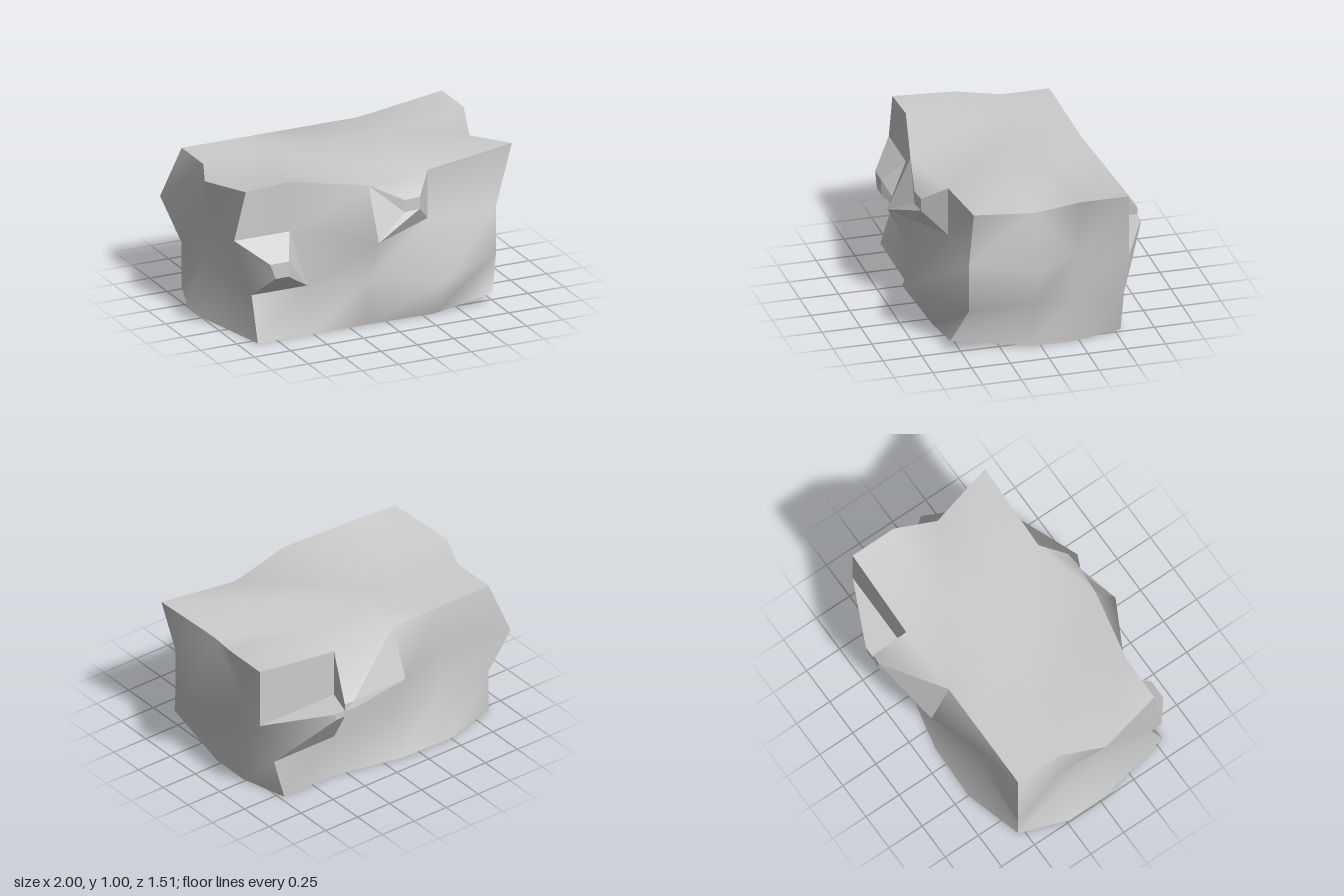
import * as THREE from 'three';
import { mergeVertices } from 'three/addons/utils/BufferGeometryUtils.js';

// Regular lattice of the boulder block
const X = [-0.88, -0.5, -0.13, 0.33, 0.8];
const Y = [0, 0.29, 0.6, 0.92];
const Z = [-0.54, -0.23, 0.04, 0.46];

// Lattice points (column, row, layer) that are pushed in or out
const moved = {
  // front
  '0,0,3': [-0.88, 0, 0.55], '1,0,3': [-0.5, 0, 0.55], '2,0,3': [-0.13, 0, 0.55],
  '3,0,3': [0.33, 0, 0.56], '4,0,3': [0.73, 0.07, 0.56],
  '2,1,3': [-0.13, 0.29, 0.55], '3,1,3': [0.33, 0.29, 0.755],
  '0,2,3': [-1, 0.67, 0.46], '1,2,3': [-0.62, 0.67, 0.46], '2,2,3': [-0.13, 0.6, 0.72],
  '0,3,3': [-0.92, 0.98, 0.46], '1,3,3': [-0.62, 1, 0.46], '2,3,3': [-0.13, 0.93, 0.57],
  '4,3,3': [0.91, 1, 0.46],
  // back
  '1,0,0': [-0.5, 0, -0.65], '2,0,0': [-0.13, 0, -0.64], '4,0,0': [0.72, 0, -0.54],
  '0,2,0': [-0.99, 0.59, -0.62], '2,2,0': [-0.13, 0.6, -0.67],
  '4,2,0': [0.91, 0.6, -0.54], '4,3,0': [0.91, 1, -0.54],
  // sides and top
  '0,0,1': [-0.99, 0, -0.23], '0,0,2': [-0.99, 0, 0.04], '0,3,2': [-1, 0.92, 0.04],
  '4,2,2': [1, 0.6, 0.04], '4,3,1': [0.91, 1, -0.23], '4,3,2': [0.82, 0.92, 0.04],
  '3,3,2': [0.3, 1, 0.04],
};
const P = (i, j, k) => moved[`${i},${j},${k}`] ?? [X[i], Y[j], Z[k]];

// Blunt spikes by cell: tip corners, and the side that flows into a wall
const frontSpikes = {
  '0,1': {
    tip: [[-0.78, 0.43, 0.6], [-0.69, 0.43, 0.6], [-0.69, 0.53, 0.6], [-0.82, 0.53, 0.6]],
    side: 3, wall: 'rightEnd',
  },
  '2,2': {
    tip: [[0.1, 0.73, 0.61], [0.21, 0.73, 0.6], [0.21, 0.81, 0.6], [0.1, 0.81, 0.61]],
    side: 2, wall: 'top',
  },
};
const backSpikes = {
  '2,2': {
    tip: [[0.4, 0.615, -0.74], [0.335, 0.615, -0.755], [0.335, 0.66, -0.745], [0.4, 0.66, -0.74]],
    side: 2, wall: 'top',
  },
  '3,1': {
    tip: [[0.465, 0.57, -0.74], [0.4, 0.57, -0.74], [0.4, 0.615, -0.74], [0.48, 0.615, -0.74]],
    side: 3, wall: 'leftEnd',
  },
};

// Adds a quad, split from its first to its third corner
const quad = (list, a, b, c, d) => list.push(...a, ...b, ...c, ...a, ...c, ...d);

const material = new THREE.MeshStandardMaterial({ color: 0xcccccc });

// Each wall is smooth within itself, each spike is faceted
function addPart(group, name, list, smooth) {
  let geometry = new THREE.BufferGeometry();
  geometry.setAttribute('position', new THREE.Float32BufferAttribute(list, 3));
  if (smooth) geometry = mergeVertices(geometry);
  geometry.computeVertexNormals();
  const mesh = new THREE.Mesh(geometry, material);
  mesh.name = name;
  group.add(mesh);
}

export function createModel() {
  const group = new THREE.Group();
  group.name = 'boulder';
  const walls = { frontWall: [], backWall: [], leftEnd: [], rightEnd: [], top: [], underside: [] };

  // A cell is either a plain piece of its wall or the foot of a spike
  const addCell = (name, cell, spike) => {
    if (!spike) {
      quad(walls[`${name}Wall`], ...cell);
      return;
    }
    const { tip, side, wall } = spike;
    const facets = [];
    for (let s = 0; s < 4; s++) {
      const t = (s + 1) % 4;
      quad(s === side ? walls[wall] : facets, cell[s], cell[t], tip[t], tip[s]);
    }
    quad(facets, ...tip);
    addPart(group, `${name}Spike`, facets, false);
  };

  // Front and back
  for (let i = 0; i < 4; i++) {
    for (let j = 0; j < 3; j++) {
      const key = `${i},${j}`;
      addCell('front', [P(i, j, 3), P(i + 1, j, 3), P(i + 1, j + 1, 3), P(i, j + 1, 3)], frontSpikes[key]);
      addCell('back', [P(i + 1, j, 0), P(i, j, 0), P(i, j + 1, 0), P(i + 1, j + 1, 0)], backSpikes[key]);
    }
  }

  // Ends; the cell behind the left end's peak is split the other way
  for (let k = 0; k < 3; k++) {
    for (let j = 0; j < 3; j++) {
      const cell = [P(4, j, k + 1), P(4, j, k), P(4, j + 1, k), P(4, j + 1, k + 1)];
      if (j === 2 && k === 1) cell.push(cell.shift());
      quad(walls.leftEnd, ...cell);
      quad(walls.rightEnd, P(0, j, k), P(0, j, k + 1), P(0, j + 1, k + 1), P(0, j + 1, k));
    }
  }

  // Top and underside
  for (let i = 0; i < 4; i++) {
    for (let k = 0; k < 3; k++) {
      quad(walls.top, P(i + 1, 3, k + 1), P(i + 1, 3, k), P(i, 3, k), P(i, 3, k + 1));
      quad(walls.underside, P(i + 1, 0, k), P(i + 1, 0, k + 1), P(i, 0, k + 1), P(i, 0, k));
    }
  }

  for (const [name, list] of Object.entries(walls)) addPart(group, name, list, true);
  return group;
}
